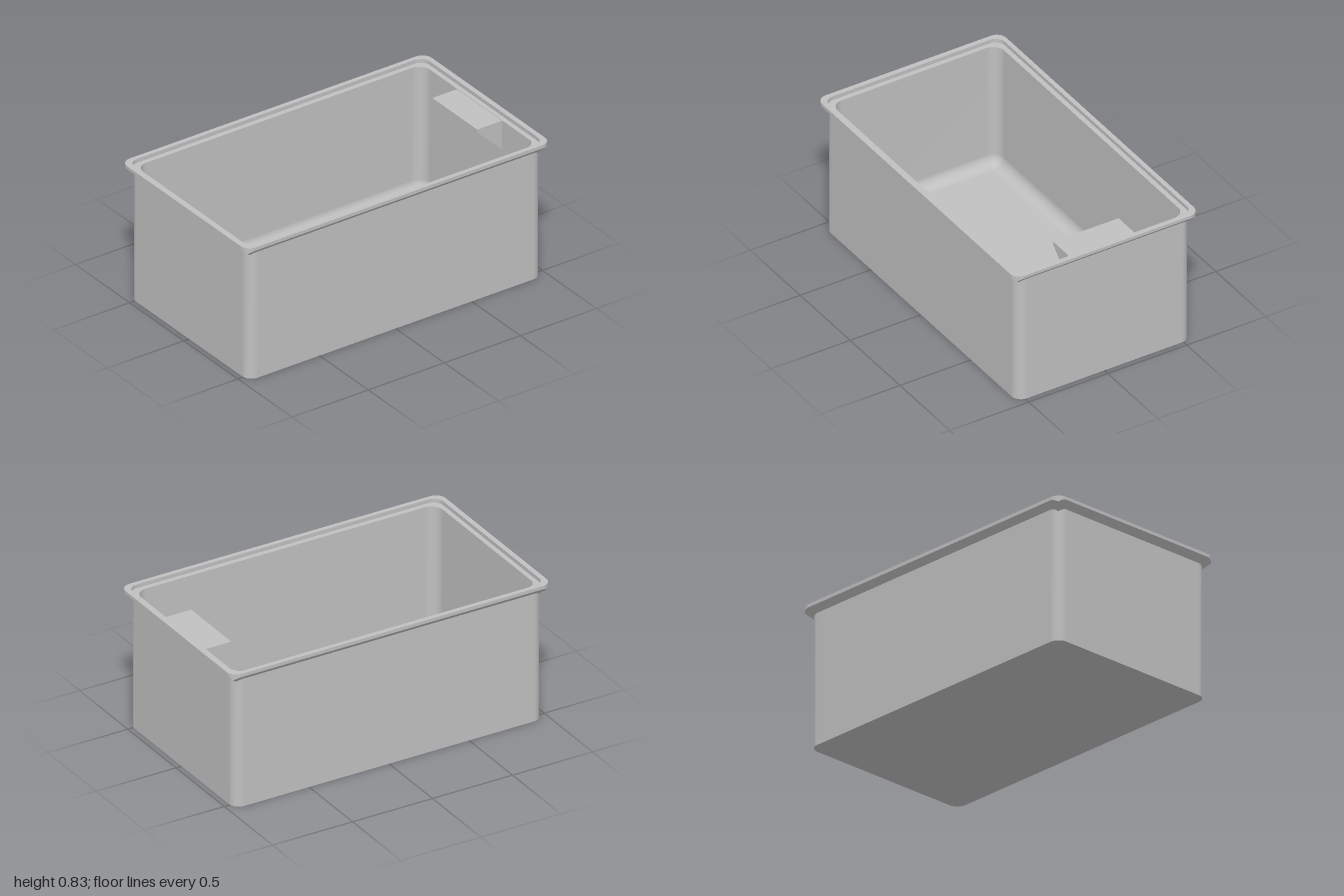
import * as THREE from 'three';

const SEG = 10; // even, so one point lies on each corner's diagonal

// Rounded-rectangle loop; y is a height or a function of (|x|, |z|)
function loop(hx, hz, r, y) {
  const pts = [];
  [[1, 1], [-1, 1], [-1, -1], [1, -1]].forEach(([sx, sz], q) => {
    for (let i = 0; i <= SEG; i++) {
      const a = (q + i / SEG) * Math.PI / 2;
      const x = sx * (hx - r) + r * Math.cos(a);
      const z = sz * (hz - r) + r * Math.sin(a);
      pts.push(new THREE.Vector3(x, typeof y === 'function' ? y(Math.abs(x), Math.abs(z)) : y, z));
    }
  });
  return pts;
}

// Skin over successive loops, listed bottom to top for a surface facing outward
function skin(loops, flat = false) {
  const n = loops[0].length, index = [];
  for (let k = 0; k < loops.length - 1; k++) {
    for (let i = 0; i < n; i++) {
      const a = k * n + i, b = k * n + (i + 1) % n;
      index.push(a, a + n, b, b, a + n, b + n);
    }
  }
  let g = new THREE.BufferGeometry().setFromPoints(loops.flat());
  g.setIndex(index);
  if (flat) g = g.toNonIndexed();
  g.computeVertexNormals();
  return g;
}

// Flat plate filling a rounded rectangle
function plate(hx, hz, r, y, up) {
  const shape = new THREE.Shape(loop(hx, hz, r, 0).map(p => new THREE.Vector2(p.x, p.z)));
  const g = new THREE.ShapeGeometry(shape);
  g.rotateX(up ? -Math.PI / 2 : Math.PI / 2);
  return g.translate(0, y, 0);
}

export function createModel() {
  const group = new THREE.Group();
  const grey = new THREE.MeshStandardMaterial({ color: 0xc0c0c0 });
  grey.name = 'grey plastic';
  const add = (name, geometry) => {
    const mesh = new THREE.Mesh(geometry, grey);
    mesh.name = name;
    group.add(mesh);
  };

  const top = 0.833, ledge = 0.81, floor = 0.05, fillet = 0.065;
  const body = [0.55, 0.965, 0.06], rim = [0.583, 1, 0.06];
  const step = [0.556, 0.97, 0.06], hole = [0.527, 0.942, 0.07];
  // 45 degree underside of the rim, mitred at the corners
  const under = (x, z) => 0.78 + Math.max(x - body[0], z - body[1]);

  // Outside of the box
  add('outerWall', skin([loop(...body, 0), loop(...body, under)]));
  add('underside', plate(...body, 0, false));

  // Overhanging rim with a stepped inner ledge
  add('rimChamfer', skin([loop(...body, under), loop(...rim, under)], true));
  add('rimEdge', skin([loop(...rim, under), loop(...rim, top)]));
  add('rimTop', skin([loop(...rim, top), loop(...step, top)], true));
  add('rimStep', skin([loop(...step, top), loop(...step, ledge)]));
  add('rimLedge', skin([loop(...step, ledge), loop(...hole, ledge)], true));

  // Inner wall, curving into the floor
  const inner = [loop(...hole, ledge)];
  for (let i = 0; i <= 8; i++) {
    const a = i / 8 * Math.PI / 2, d = fillet * (1 - Math.cos(a));
    inner.push(loop(...hole.map(v => v - d), floor + fillet * (1 - Math.sin(a))));
  }
  add('innerWall', skin(inner));
  add('floor', plate(...hole.map(v => v - fillet), floor, true));

  // Wedge-shaped grip on the back wall
  const wedge = new THREE.Shape([[-0.945, 0.807], [-0.945, 0.625], [-0.78, 0.79], [-0.78, 0.807]]
    .map(([z, y]) => new THREE.Vector2(-z, y)));
  const grip = new THREE.ExtrudeGeometry(wedge, { depth: 0.414, bevelEnabled: false });
  grip.translate(0, 0, -0.207).rotateY(Math.PI / 2);
  add('grip', grip);

  return group;
}
